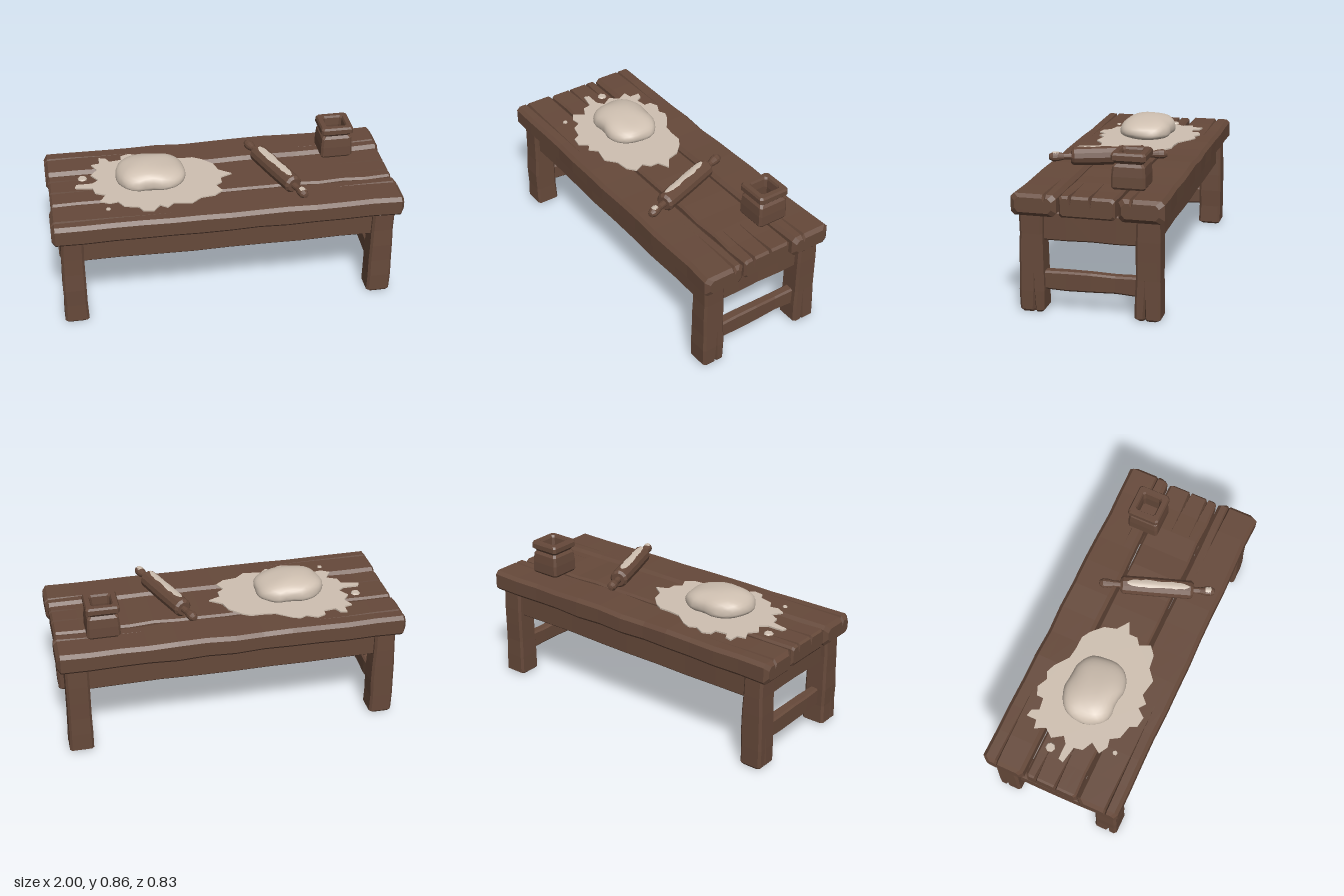
import * as THREE from 'three';
import { mergeVertices } from 'three/addons/utils/BufferGeometryUtils.js';

const wood = new THREE.MeshStandardMaterial({ color: 0x66493a, flatShading: true });
wood.name = 'brown wood';
const flour = new THREE.MeshStandardMaterial({ color: 0xcfc0b1, side: THREE.DoubleSide });
flour.name = 'pale flour';

let seed = 7;
const rnd = () => ((seed = (seed * 16807) % 2147483647) / 2147483647) * 2 - 1;

// Skin closed rings of [z, y] points placed along x, with flat caps
function loft(stations) {
  const pos = [];
  const n = stations[0].ring.length;
  const put = (s, k) => pos.push(s.x, s.ring[k % n][1], s.ring[k % n][0]);
  for (let i = 0; i < stations.length - 1; i++) {
    const a = stations[i], b = stations[i + 1];
    for (let k = 0; k < n; k++) {
      put(a, k); put(b, k); put(a, k + 1);
      put(a, k + 1); put(b, k); put(b, k + 1);
    }
  }
  const cap = (s, flip) => {
    const pts = s.ring.map(([u, v]) => new THREE.Vector2(u, v));
    for (const [i, j, k] of THREE.ShapeUtils.triangulateShape(pts, []))
      for (const q of flip ? [i, k, j] : [i, j, k]) put(s, q);
  };
  cap(stations[0], false);
  cap(stations[stations.length - 1], true);
  const g = new THREE.BufferGeometry();
  g.setAttribute('position', new THREE.Float32BufferAttribute(pos, 3));
  g.computeVertexNormals();
  return g;
}

// Chamfered rectangle; cracks are V cuts [u, halfWidth, depth] in its top edge
function section(u0, u1, v0, v1, c, cracks = []) {
  const ring = [[u0 + c, v0], [u1 - c, v0], [u1, v0 + c], [u1, v1 - c], [u1 - c, v1]];
  for (const [u, w, d] of cracks) ring.push([u + w, v1], [u, v1 - d], [u - w, v1]);
  ring.push([u0 + c, v1], [u0, v1 - c], [u0, v0 + c]);
  return ring;
}

// Hand-hewn beam along x, from 0 to len. Cracks: { u, end: 0|1, w, depth, len }, descending u
function beam(len, w, h, { c = 0.015, wobble = 0.004, cracks = [], steps = 8, grow = () => 1 } = {}) {
  const xs = [0, c];
  for (let i = 1; i < steps; i++) xs.push(c + ((len - 2 * c) * i) / steps);
  xs.push(len - c, len);
  return loft(xs.map((x, i) => {
    const inset = i === 0 || i === xs.length - 1 ? c : 0;
    const s = grow(x / len);
    const j = () => rnd() * wobble - inset;
    const cuts = cracks.map((k) => {
      const f = Math.max(0, 1 - Math.abs(x - k.end * len) / k.len);
      return [k.u, Math.max(0.001, k.w * f), k.depth * f];
    });
    return { x, ring: section(-w / 2 * s - j(), w / 2 * s + j(), -h / 2 * s - j(), h / 2 * s + j(), c, cuts) };
  }));
}

function add(parent, name, geometry, material, x = 0, y = 0, z = 0) {
  const m = new THREE.Mesh(geometry, material);
  m.name = name;
  m.position.set(x, y, z);
  parent.add(m);
  return m;
}

function addTable(g) {
  const crack = (u, end, depth, len, w = 0.01) => ({ u, end, depth, len, w });
  // Top planks
  add(g, 'frontPlank', beam(2, 0.243, 0.122, {
    c: 0.02, steps: 12, cracks: [crack(0.05, 0, 0.03, 0.6), crack(-0.06, 1, 0.02, 0.35)],
  }), wood, -1, 0.607, 0.288);
  add(g, 'backPlank', beam(2, 0.243, 0.122, {
    c: 0.02, steps: 12, cracks: [crack(0.05, 1, 0.02, 0.4), crack(-0.04, 0, 0.025, 0.45)],
  }), wood, -1, 0.607, -0.288);
  add(g, 'middlePlank', beam(1.975, 0.305, 0.115, {
    c: 0.012, steps: 14,
    cracks: [crack(0.09, 1, 0.045, 0.2), crack(0.03, 0, 0.04, 0.25), crack(-0.02, 1, 0.05, 0.22), crack(-0.09, 0, 0.045, 0.2)],
  }), wood, -0.988, 0.606, 0.002);

  // Legs, splitting slightly at the foot
  for (const sx of [-1, 1]) for (const sz of [-1, 1]) {
    const geo = beam(0.555, 0.128, 0.128, {
      c: 0.013, steps: 5, wobble: 0.003, grow: (t) => 1.07 - 0.09 * t,
      cracks: [crack(sz * 0.015, 0, 0.025, 0.19, 0.012)],
    });
    geo.rotateZ(Math.PI / 2);
    const leg = add(g, 'leg', geo, wood, sx * 0.891, 0, sz * 0.317);
    if (sx > 0) leg.rotation.y = Math.PI;
  }

  // Aprons and end stretchers
  for (const s of [-1, 1]) {
    add(g, 'longApron', beam(1.7, 0.055, 0.15, { c: 0.008, wobble: 0.003 }), wood, -0.85, 0.475, s * 0.325);
    const end = add(g, 'endApron', beam(0.56, 0.055, 0.155, { c: 0.008, wobble: 0.003, steps: 4 }), wood, s * 0.89, 0.475, 0.28);
    end.rotation.y = Math.PI / 2;
    const bar = add(g, 'endStretcher', beam(0.56, 0.06, 0.105, { c: 0.01, wobble: 0.005, steps: 4 }), wood, s * 0.89, 0.173, 0.28);
    bar.rotation.y = Math.PI / 2;
  }
}

function addPot(g) {
  // Square pot: outside upward, over the rim, then down the inside
  const profile = [[0, 0.086], [0.012, 0.094], [0.07, 0.093], [0.122, 0.088], [0.138, 0.076], [0.148, 0.083],
    [0.158, 0.095], [0.185, 0.095], [0.197, 0.088], [0.197, 0.062], [0.185, 0.056], [0.14, 0.052], [0.06, 0.056]];
  const geo = loft(profile.map(([x, r]) => ({ x, ring: section(-r, r, -r, r, 0.012) })));
  geo.rotateZ(Math.PI / 2);
  add(g, 'pot', geo, wood, 0.717, 0.667, -0.175);
}

// Ragged flour film lying along the top of a cylinder whose axis is z
function flourStrip(radius, z0, z1, spread, lean) {
  const geo = new THREE.PlaneGeometry(2, 1, 4, 14);
  const p = geo.attributes.position;
  for (let i = 0; i < p.count; i++) {
    const edge = Math.abs(p.getX(i)) > 0.9;
    const taper = 1 - Math.pow(Math.abs(p.getY(i)) * 2, 6) * 0.7;
    const a = lean + p.getX(i) * spread * taper * (edge ? 1 + rnd() * 0.25 : 1);
    p.setXYZ(i, Math.sin(a) * radius, Math.cos(a) * radius, THREE.MathUtils.lerp(z0, z1, p.getY(i) + 0.5));
  }
  geo.computeVertexNormals();
  return geo;
}

function addRollingPin(g) {
  const pin = new THREE.Group();
  pin.name = 'rollingPin';
  pin.position.set(0.315, 0.721, 0.06);
  pin.rotation.y = Math.atan2(0.225, 0.625);
  g.add(pin);
  const lathe = (pts) => new THREE.LatheGeometry(pts.map(([r, y]) => new THREE.Vector2(r, y)), 12).rotateX(Math.PI / 2);
  add(pin, 'roller', lathe([[0, -0.21], [0.04, -0.21], [0.053, -0.195], [0.055, 0], [0.053, 0.195], [0.04, 0.21], [0, 0.21]]), wood);
  for (const s of [-1, 1]) {
    const handle = add(pin, 'handle', lathe([[0.02, 0.2], [0.019, 0.25], [0.027, 0.285], [0.027, 0.312], [0.016, 0.333], [0, 0.335]]), wood);
    if (s < 0) handle.rotation.y = Math.PI;
  }
  add(pin, 'rollerFlour', flourStrip(0.0575, -0.17, 0.185, 0.38, -0.12), flour);
  add(pin, 'handleFlour', flourStrip(0.029, 0.278, 0.315, 0.6, 0), flour);
}

function addDough(g) {
  // Spilled flour, outline in x and z
  const outline = [0.07, 0, 0, -0.05, -0.02, -0.12, -0.08, -0.18, -0.13, -0.21, -0.2, -0.21, -0.27, -0.22, -0.35, -0.28,
    -0.4, -0.3, -0.44, -0.28, -0.5, -0.31, -0.55, -0.29, -0.55, -0.25, -0.62, -0.24, -0.64, -0.28, -0.68, -0.29,
    -0.68, -0.23, -0.73, -0.22, -0.7, -0.16, -0.74, -0.11, -0.7, -0.05, -0.74, -0.02, -0.83, -0.02, -0.84, 0.01,
    -0.74, 0.03, -0.73, 0.08, -0.67, 0.11, -0.71, 0.17, -0.66, 0.2, -0.61, 0.19, -0.58, 0.24, -0.5, 0.26,
    -0.48, 0.3, -0.42, 0.31, -0.38, 0.26, -0.34, 0.29, -0.3, 0.25, -0.2, 0.27, -0.14, 0.22, -0.06, 0.21,
    -0.01, 0.17, -0.04, 0.11, 0, 0.08, 0, 0.03];
  const pts = [];
  for (let i = 0; i < outline.length; i += 2) pts.push(new THREE.Vector2(outline[i], -outline[i + 1]));
  const spill = new THREE.ExtrudeGeometry(new THREE.Shape(pts), { depth: 0.009, bevelEnabled: false }).rotateX(-Math.PI / 2);
  add(g, 'spilledFlour', spill, flour, 0, 0.667, 0);
  for (const [x, z, r] of [[-0.79, -0.09, 0.028], [-0.67, 0.25, 0.015]])
    add(g, 'flourSpeck', new THREE.CylinderGeometry(r * 0.8, r, 0.008, 7), flour, x, 0.672, z);

  // Lump of dough: flattened ball, pinched at the middle, lower towards +x
  let geo = new THREE.IcosahedronGeometry(1, 5);
  geo.deleteAttribute('normal');
  geo.deleteAttribute('uv');
  geo = mergeVertices(geo, 1e-4);
  const p = geo.attributes.position;
  const box = (v) => Math.sign(v) * Math.pow(Math.abs(v), 0.82);
  for (let i = 0; i < p.count; i++) {
    const x = box(p.getX(i)), y = box(p.getY(i)), z = box(p.getZ(i));
    const pinch = 1 - 0.1 * Math.exp(-Math.pow((x + 0.12 * Math.sign(z)) / 0.22, 2)) * Math.abs(z);
    const lump = 1 + 0.025 * Math.sin(5 * x + 2 * z) * Math.cos(4 * z + 3 * y);
    const top = y > 0 ? 0.087 - 0.02 * Math.max(0, x) : 0.05;
    p.setXYZ(i, x * 0.2 * lump, y * top * lump, z * 0.163 * pinch * lump);
  }
  geo.computeVertexNormals();
  add(g, 'dough', geo, flour, -0.4, 0.719, -0.005);
}

export function createModel() {
  seed = 7;
  const g = new THREE.Group();
  g.name = 'bakingTable';
  addTable(g);
  addPot(g);
  addRollingPin(g);
  addDough(g);
  return g;
}
